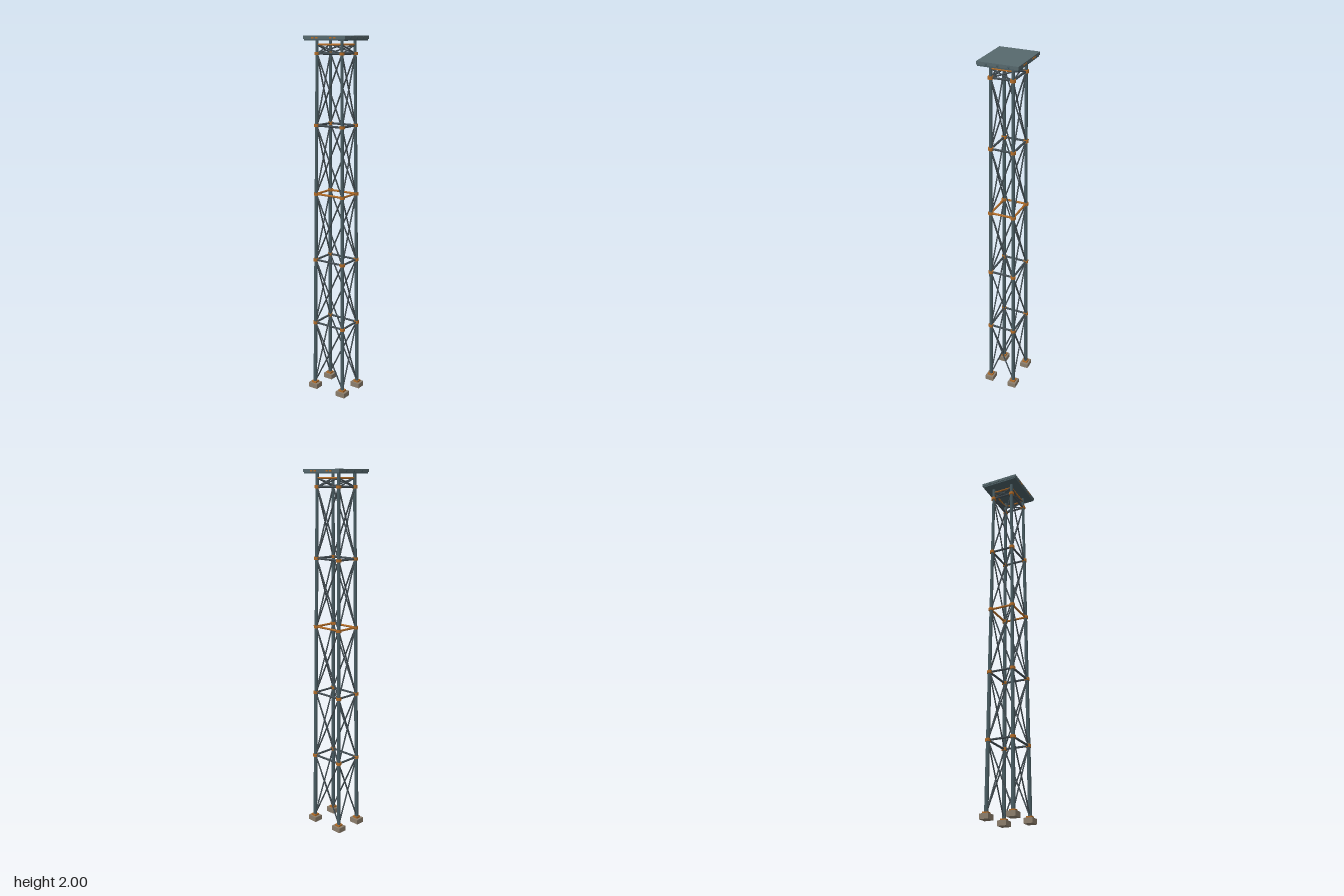
import * as THREE from 'three';

const mat = (name, color) => {
  const m = new THREE.MeshStandardMaterial({ color });
  m.name = name;
  return m;
};

export function createModel() {
  const slate = mat('slate steel', 0x4a5d63);
  const deckGrey = mat('deck grey', 0x56686d);
  const dark = mat('dark steel', 0x434d53);
  const rust = mat('rust orange', 0xb26c28);
  const stone = mat('footing stone', 0x8b7d6b);

  const model = new THREE.Group();
  model.name = 'latticeTower';

  const add = (name, geometry, material, x, y, z) => {
    const mesh = new THREE.Mesh(geometry, material);
    mesh.name = name;
    mesh.position.set(x, y, z);
    model.add(mesh);
    return mesh;
  };
  const box = (name, w, h, d, material, x, y, z) =>
    add(name, new THREE.BoxGeometry(w, h, d), material, x, y, z);

  // Round bar between two points
  const up = new THREE.Vector3(0, 1, 0);
  const bar = (name, a, b, r0, r1, material, sides = 8) => {
    const dir = b.clone().sub(a);
    const mid = a.clone().add(b).multiplyScalar(0.5);
    const geo = new THREE.CylinderGeometry(r1, r0, dir.length(), sides);
    const mesh = add(name, geo, material, mid.x, mid.y, mid.z);
    mesh.quaternion.setFromUnitVectors(up, dir.normalize());
  };

  // Leg centre line at height y; the tower narrows towards the top
  const corners = [[1, 1], [-1, 1], [-1, -1], [1, -1]];
  const legPoint = (i, y) => {
    const t = (y - 0.03) / 1.95;
    const [sx, sz] = corners[i % 4];
    return new THREE.Vector3(sx * (0.097 - 0.018 * t), y, sz * (0.074 - 0.015 * t));
  };

  const levels = [0.405, 0.782, 1.16, 1.535, 1.91];
  const panels = [0.035, ...levels, 1.955];

  for (let i = 0; i < 4; i++) {
    // Footing, base plate and leg
    const foot = legPoint(i, 0.03);
    box('footing', 0.058, 0.028, 0.05, stone, foot.x, 0.014, foot.z);
    box('basePlate', 0.03, 0.01, 0.03, rust, foot.x, 0.033, foot.z);
    bar('leg', legPoint(i, 0.028), legPoint(i, 1.98), 0.011, 0.0085, slate, 10);

    // Ring beams and joint collars
    for (const y of levels) {
      const p = legPoint(i, y);
      bar('ringBeam', p, legPoint(i + 1, y), 0.006, 0.006, y === 1.16 ? rust : dark);
      add('jointCollar', new THREE.CylinderGeometry(0.0145, 0.0145, 0.016, 10), rust, p.x, p.y, p.z);
    }
    bar('topRingBeam', legPoint(i, 1.955), legPoint(i + 1, 1.955), 0.0045, 0.0045, rust);

    // Crossed diagonals in every panel
    for (let k = 0; k + 1 < panels.length; k++) {
      const lo = panels[k], hi = panels[k + 1];
      bar('diagonal', legPoint(i, lo), legPoint(i + 1, hi), 0.0042, 0.0042, dark, 6);
      bar('diagonal', legPoint(i + 1, lo), legPoint(i, hi), 0.0042, 0.0042, dark, 6);
    }
  }

  // Platform deck with a slightly inset frame below
  box('deck', 0.264, 0.016, 0.22, deckGrey, 0, 1.992, 0);
  box('deckFrame', 0.256, 0.008, 0.212, slate, 0, 1.98, 0);

  for (const s of [1, -1]) {
    // Painted marks on the front and back edges
    for (const x of [-0.07, -0.045, 0.043, 0.069])
      box('edgeMark', 0.015, 0.008, 0.004, rust, x, 1.99, s * 0.1095);
    // Bolt heads on the side edges
    for (const z of [-0.058, 0, 0.058]) {
      const bolt = add('bolt', new THREE.SphereGeometry(0.007, 12, 8), slate, s * 0.1315, 1.991, z);
      bolt.scale.set(0.3, 1, 1);
    }
  }
  return model;
}
